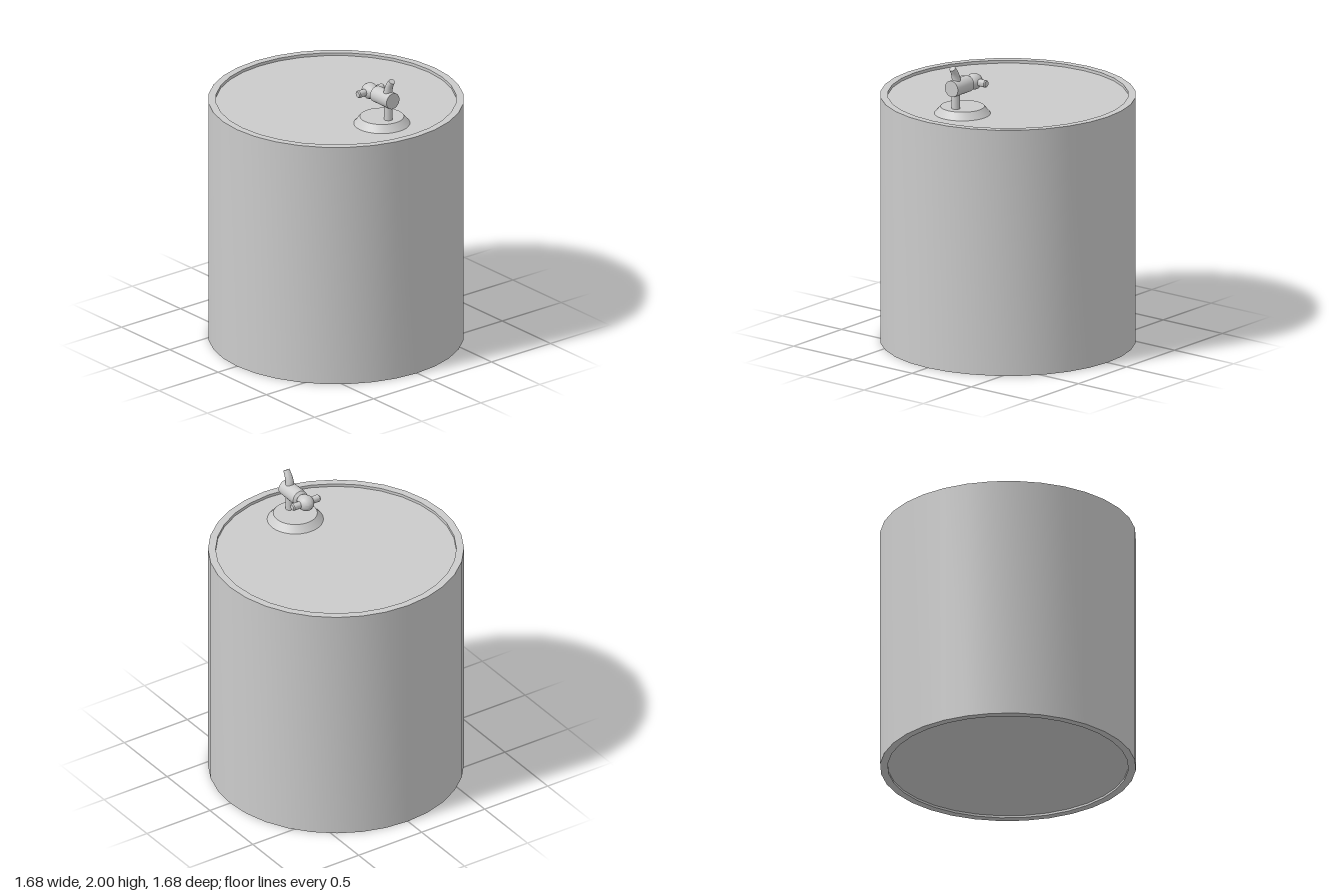
import * as THREE from 'three';
import { toCreasedNormals } from 'three/addons/utils/BufferGeometryUtils.js';

const material = new THREE.MeshStandardMaterial({ color: 0xcccccc });

function add(group, name, geometry, x = 0, y = 0, z = 0) {
  const mesh = new THREE.Mesh(geometry, material);
  mesh.name = name;
  mesh.position.set(x, y, z);
  group.add(mesh);
  return mesh;
}

// Turned part from [radius, height] pairs, listed bottom to top
function turned(profile, sides) {
  const points = profile.map(([r, h]) => new THREE.Vector2(r, h));
  return toCreasedNormals(new THREE.LatheGeometry(points, sides), 0.6);
}

// Curved lever that narrows towards a flat tip
function taperedLever(points, r0, r1) {
  const rings = 12, sides = 16;
  const curve = new THREE.CatmullRomCurve3(points);
  const geometry = new THREE.TubeGeometry(curve, rings, 1, sides, false);
  const pos = geometry.attributes.position;
  const v = new THREE.Vector3();
  for (let i = 0; i <= rings; i++) {
    const centre = curve.getPointAt(i / rings);
    const tip = curve.getPointAt(Math.min(i, rings - 1) / rings);
    // the last ring closes the tip
    const radius = i === rings ? 0 : THREE.MathUtils.lerp(r0, r1, i / (rings - 1));
    for (let j = 0; j <= sides; j++) {
      const k = i * (sides + 1) + j;
      v.fromBufferAttribute(pos, k).sub(centre).multiplyScalar(radius).add(tip);
      pos.setXYZ(k, v.x, v.y, v.z);
    }
  }
  return toCreasedNormals(geometry, 0.6);
}

export function createModel() {
  const model = new THREE.Group();
  model.name = 'kegWithTap';

  // Barrel: raised rims around recessed ends
  add(model, 'barrel', turned([
    [0, 0.015], [0.79, 0.015], [0.79, 0], [0.84, 0],
    [0.84, 1.68], [0.79, 1.68], [0.79, 1.66], [0, 1.66],
  ], 32));

  const tap = new THREE.Group();
  tap.name = 'tap';
  model.add(tap);

  // Sloped flange and upright stem
  add(tap, 'flange', turned([[0.185, 1.66], [0.145, 1.708], [0, 1.708]], 32), 0, 0, 0.475);
  add(tap, 'stem', new THREE.CylinderGeometry(0.028, 0.028, 0.17, 16), 0, 1.765, 0.543);

  // Horizontal valve body, bevelled towards the back
  const body = turned([[0, 0], [0.055, 0], [0.055, 0.17], [0.038, 0.187], [0, 0.187]], 24);
  add(tap, 'valveBody', body.rotateX(-Math.PI / 2), 0, 1.85, 0.59);

  // Rounded knob with a narrower back end
  const knob = turned([
    [0, -0.06], [0.035, -0.052], [0.048, -0.03], [0.055, 0], [0.051, 0.022],
    [0.04, 0.042], [0.022, 0.057], [0, 0.062],
  ], 20);
  add(tap, 'knob', knob.rotateX(-Math.PI / 2), 0, 1.85, 0.355);

  // Cross handles with softened ends
  for (const side of [-1, 1]) {
    const handle = turned([[0.023, 0], [0.025, 0.1], [0.019, 0.108], [0, 0.108]], 16);
    add(tap, side > 0 ? 'leftHandle' : 'rightHandle',
      handle.rotateZ(-side * Math.PI / 2), 0, 1.85, 0.355);
  }

  // Curved lever on top of the body
  add(tap, 'lever', taperedLever([
    new THREE.Vector3(0, 1.87, 0.538),
    new THREE.Vector3(0, 1.91, 0.541),
    new THREE.Vector3(0, 1.95, 0.555),
    new THREE.Vector3(0, 1.997, 0.586),
  ], 0.032, 0.021));

  return model;
}
